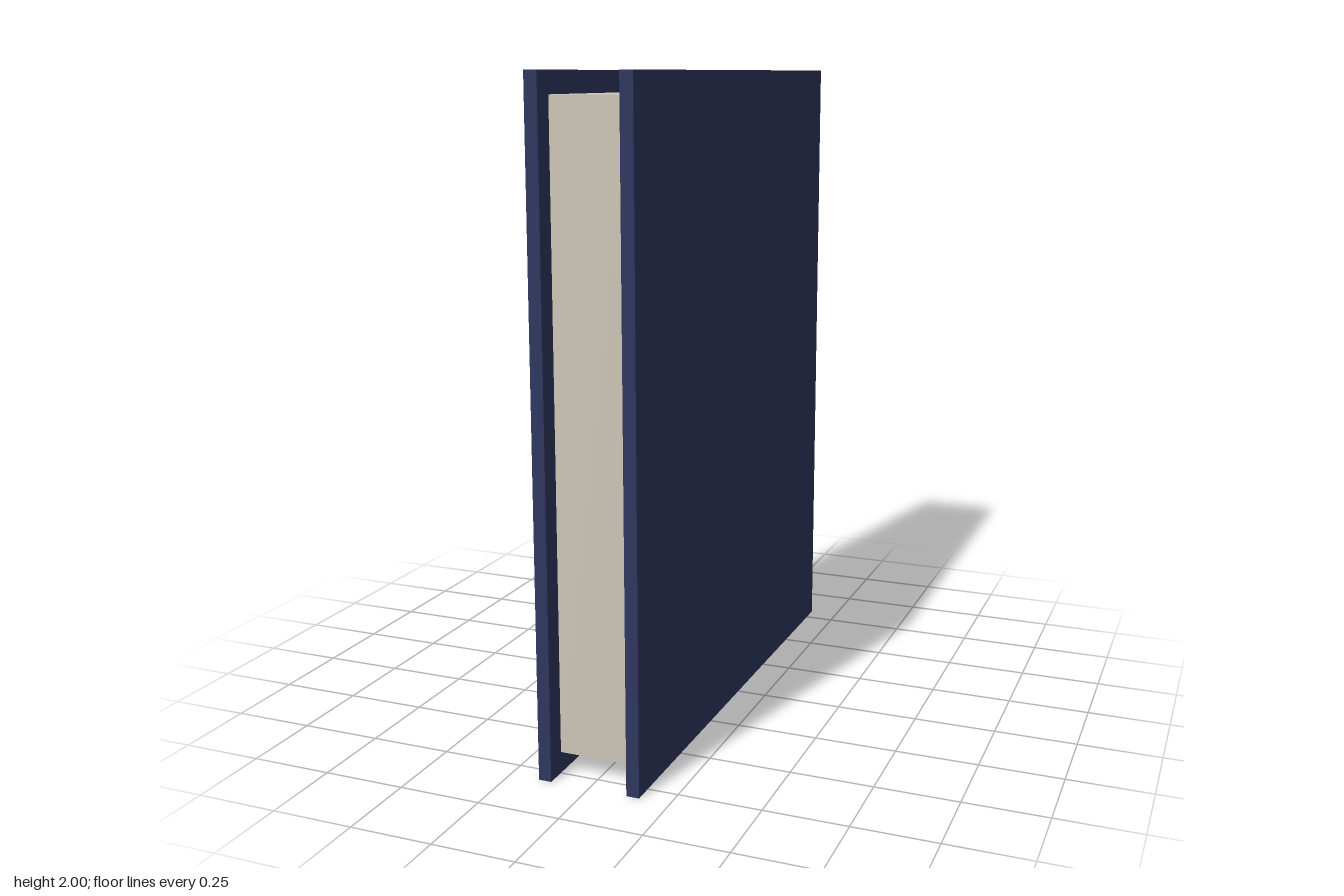
import * as THREE from 'three';

const material = (name, color) => {
  const m = new THREE.MeshStandardMaterial({ color });
  m.name = name;
  return m;
};

// Box given by its minimum and maximum corners
function block(name, min, max, mat) {
  const size = max.map((v, i) => v - min[i]);
  const mesh = new THREE.Mesh(new THREE.BoxGeometry(...size), mat);
  mesh.position.set(...max.map((v, i) => (v + min[i]) / 2));
  mesh.name = name;
  return mesh;
}

export function createModel() {
  const navy = material('navy cover', 0x2e365e);
  const gold = material('gold spine', 0xcca73f);
  const cream = material('cream paper', 0xcec7b8);

  const outer = 0.157, inner = 0.118, depth = 0.812, spineFront = -0.778;
  const book = new THREE.Group();
  book.name = 'book';

  // Two cover boards, standing upright
  book.add(block('leftCover', [inner, 0, -depth], [outer, 2, depth], navy));
  book.add(block('rightCover', [-outer, 0, -depth], [-inner, 2, depth], navy));

  // Spine between the boards at the back
  book.add(block('spine', [-inner, 0, -depth], [inner, 2, spineFront], gold));

  // Page block, set in from the top, bottom and front edges
  book.add(block('pages', [-inner, 0.064, spineFront], [inner, 1.936, 0.747], cream));

  return book;
}
